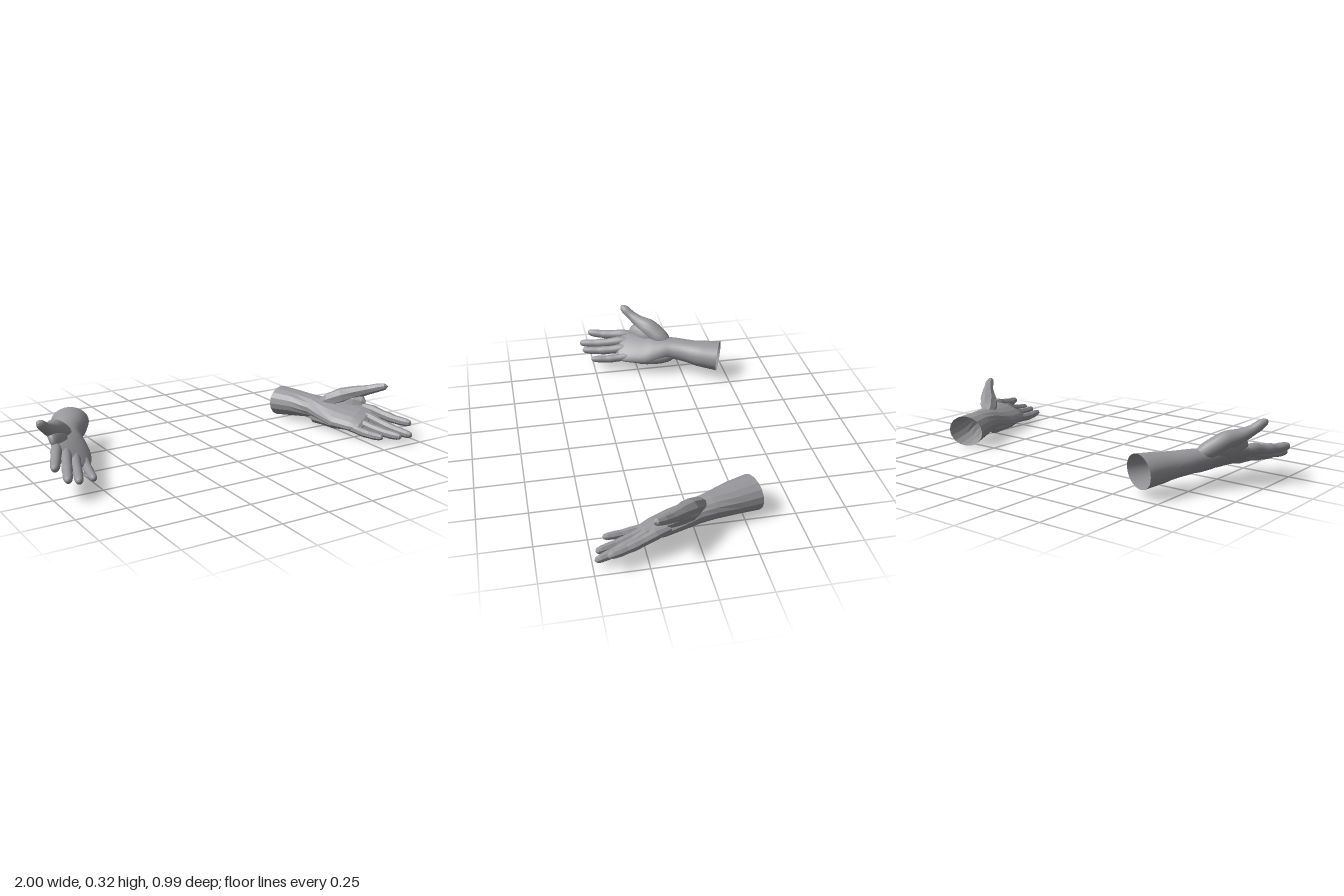
import * as THREE from 'three';

const skin = new THREE.MeshStandardMaterial({ color: 0x98989c, side: THREE.DoubleSide });
skin.name = 'grey skin';

// Loft elliptical rings through stations [x, y, z, halfWidth, halfThickness, tiltDegrees].
function loft(name, stations, opt, openStart = false) {
  const { side, sides, steps, faceted } = opt;
  const path = new THREE.CatmullRomCurve3(stations.map(s => new THREE.Vector3(s[0], s[1], s[2])));
  const size = new THREE.CatmullRomCurve3(stations.map(s => new THREE.Vector3(s[3], s[4], s[5] * Math.PI / 180)));
  const rings = (stations.length - 1) * steps;
  const pos = [], idx = [];
  const put = v => pos.push(v.x * side, v.y, v.z);
  const face = (a, b, c) => (side > 0 ? idx.push(a, b, c) : idx.push(a, c, b));

  for (let i = 0; i <= rings; i++) {
    const u = i / rings;
    const c = path.getPoint(u), s = size.getPoint(u), t = path.getTangent(u);
    const across = new THREE.Vector3(Math.cos(s.z), Math.sin(s.z), 0);
    across.addScaledVector(t, -across.dot(t)).normalize();
    const up = new THREE.Vector3().crossVectors(t, across);
    for (let j = 0; j < sides; j++) {
      const a = (j / sides) * Math.PI * 2;
      put(c.clone().addScaledVector(across, Math.cos(a) * s.x).addScaledVector(up, Math.sin(a) * s.y));
    }
  }
  for (let i = 0; i < rings; i++) {
    for (let j = 0; j < sides; j++) {
      const k = (j + 1) % sides;
      const a = i * sides + j, b = i * sides + k;
      face(a, b, b + sides);
      face(a, b + sides, a + sides);
    }
  }
  // End caps
  const end = (rings + 1) * sides;
  put(path.getPoint(1));
  put(path.getPoint(0));
  for (let j = 0; j < sides; j++) {
    const k = (j + 1) % sides;
    face(rings * sides + j, rings * sides + k, end);
    if (!openStart) face(k, j, end + 1);
  }

  let geo = new THREE.BufferGeometry();
  geo.setAttribute('position', new THREE.Float32BufferAttribute(pos, 3));
  geo.setIndex(idx);
  if (faceted) geo = geo.toNonIndexed();
  geo.computeVertexNormals();
  const mesh = new THREE.Mesh(geo, skin);
  mesh.name = name;
  return mesh;
}

// Finger: [position along length, radius factor], with knuckle swellings and a rounded tip
const FINGER = [[-0.3, 0.8], [0, 1.12], [0.25, 1], [0.45, 1.05], [0.6, 0.92], [0.74, 0.94], [0.9, 0.8], [0.97, 0.58], [1, 0.15]];
function finger(name, base, tip, radius, tilt, opt) {
  const arch = 0.008;
  const stations = FINGER.map(([u, r]) => [
    base[0] + (tip[0] - base[0]) * u,
    base[1] + (tip[1] - base[1]) * u - arch * Math.sin(Math.PI * Math.max(u, 0)),
    base[2] + (tip[2] - base[2]) * u,
    radius * r, radius * r, tilt,
  ]);
  return loft(name, stations, opt);
}

function hand(name, data, opt) {
  const g = new THREE.Group();
  g.name = name;
  g.add(loft('forearmAndPalm', data.arm, { ...opt, sides: opt.armSides }, true));
  for (const part of ['thumb', 'thumbWeb', 'heelOfPalm']) g.add(loft(part, data[part], opt));
  for (const [part, base, tip, r] of data.fingers) g.add(finger(part, base, tip, r, data.tilt, opt));
  return g;
}

// Smooth hand on the -x side
const rightHand = {
  tilt: 28,
  arm: [
    [0.615, 0.118, -0.457, 0.101, 0.083, 0],
    [0.658, 0.123, -0.35, 0.086, 0.073, 0],
    [0.73, 0.133, -0.21, 0.069, 0.058, 15],
    [0.75, 0.13, -0.13, 0.084, 0.051, 25],
    [0.773, 0.125, -0.06, 0.104, 0.044, 28],
    [0.813, 0.125, 0.03, 0.107, 0.035, 28],
    [0.836, 0.122, 0.085, 0.098, 0.024, 28],
    [0.843, 0.121, 0.103, 0.082, 0.009, 28],
  ],
  thumb: [
    [0.745, 0.15, -0.19, 0.025, 0.025, 40],
    [0.785, 0.18, -0.145, 0.05, 0.045, 40],
    [0.838, 0.22, -0.09, 0.053, 0.047, 40],
    [0.89, 0.245, -0.037, 0.037, 0.036, 40],
    [0.93, 0.272, 0.005, 0.027, 0.026, 40],
    [0.955, 0.296, 0.033, 0.026, 0.024, 40],
    [0.972, 0.311, 0.05, 0.018, 0.017, 40],
    [0.978, 0.317, 0.057, 0.004, 0.004, 40],
  ],
  thumbWeb: [
    [0.77, 0.15, -0.16, 0.02, 0.02, 55],
    [0.828, 0.182, -0.085, 0.058, 0.042, 55],
    [0.868, 0.19, -0.025, 0.056, 0.032, 60],
    [0.888, 0.188, 0.01, 0.035, 0.018, 60],
    [0.896, 0.186, 0.022, 0.012, 0.006, 60],
  ],
  heelOfPalm: [
    [0.71, 0.115, -0.23, 0.01, 0.01, 28],
    [0.703, 0.1, -0.18, 0.032, 0.032, 28],
    [0.711, 0.092, -0.12, 0.04, 0.037, 28],
    [0.728, 0.09, -0.03, 0.042, 0.034, 28],
    [0.755, 0.092, 0.06, 0.02, 0.018, 28],
  ],
  fingers: [
    ['indexFinger', [0.905, 0.165, 0.07], [0.99, 0.155, 0.262], 0.025],
    ['middleFinger', [0.866, 0.14, 0.095], [0.95, 0.108, 0.318], 0.025],
    ['ringFinger', [0.818, 0.115, 0.09], [0.892, 0.09, 0.31], 0.024],
    ['littleFinger', [0.76, 0.09, 0.06], [0.802, 0.073, 0.27], 0.022],
  ],
};

// Faceted hand on the +x side
const leftHand = {
  tilt: 20,
  arm: [
    [0.65, 0.084, -0.311, 0.099, 0.083, 0],
    [0.685, 0.09, -0.2, 0.089, 0.073, 0],
    [0.73, 0.093, -0.08, 0.078, 0.06, 10],
    [0.752, 0.088, 0, 0.088, 0.053, 18],
    [0.782, 0.085, 0.09, 0.109, 0.046, 20],
    [0.82, 0.08, 0.19, 0.106, 0.039, 20],
    [0.838, 0.077, 0.24, 0.096, 0.026, 20],
    [0.843, 0.076, 0.258, 0.08, 0.009, 20],
  ],
  thumb: [
    [0.735, 0.11, -0.06, 0.025, 0.025, 30],
    [0.77, 0.138, -0.01, 0.045, 0.042, 30],
    [0.823, 0.172, 0.042, 0.05, 0.044, 30],
    [0.878, 0.197, 0.093, 0.037, 0.036, 30],
    [0.928, 0.218, 0.148, 0.026, 0.027, 30],
    [0.957, 0.234, 0.185, 0.025, 0.024, 30],
    [0.98, 0.246, 0.22, 0.018, 0.018, 30],
    [0.987, 0.25, 0.232, 0.004, 0.004, 30],
  ],
  thumbWeb: [
    [0.765, 0.11, -0.03, 0.02, 0.02, 50],
    [0.822, 0.14, 0.04, 0.058, 0.042, 50],
    [0.865, 0.15, 0.1, 0.054, 0.032, 55],
    [0.89, 0.15, 0.14, 0.034, 0.018, 55],
    [0.898, 0.148, 0.155, 0.012, 0.006, 55],
  ],
  heelOfPalm: [
    [0.7, 0.07, -0.1, 0.01, 0.01, 20],
    [0.702, 0.048, -0.04, 0.034, 0.038, 20],
    [0.714, 0.053, 0.02, 0.04, 0.037, 20],
    [0.73, 0.052, 0.11, 0.042, 0.034, 20],
    [0.755, 0.05, 0.21, 0.022, 0.022, 20],
  ],
  fingers: [
    ['indexFinger', [0.91, 0.118, 0.21], [0.985, 0.09, 0.438], 0.025],
    ['middleFinger', [0.867, 0.088, 0.245], [0.948, 0.043, 0.49], 0.025],
    ['ringFinger', [0.813, 0.063, 0.245], [0.885, 0.042, 0.478], 0.024],
    ['littleFinger', [0.757, 0.046, 0.21], [0.793, 0.042, 0.435], 0.022],
  ],
};

export function createModel() {
  const model = new THREE.Group();
  model.name = 'pairOfHands';
  model.add(hand('rightHand', rightHand, { side: -1, sides: 16, armSides: 28, steps: 4, faceted: false }));
  model.add(hand('leftHand', leftHand, { side: 1, sides: 8, armSides: 16, steps: 1, faceted: true }));
  return model;
}
